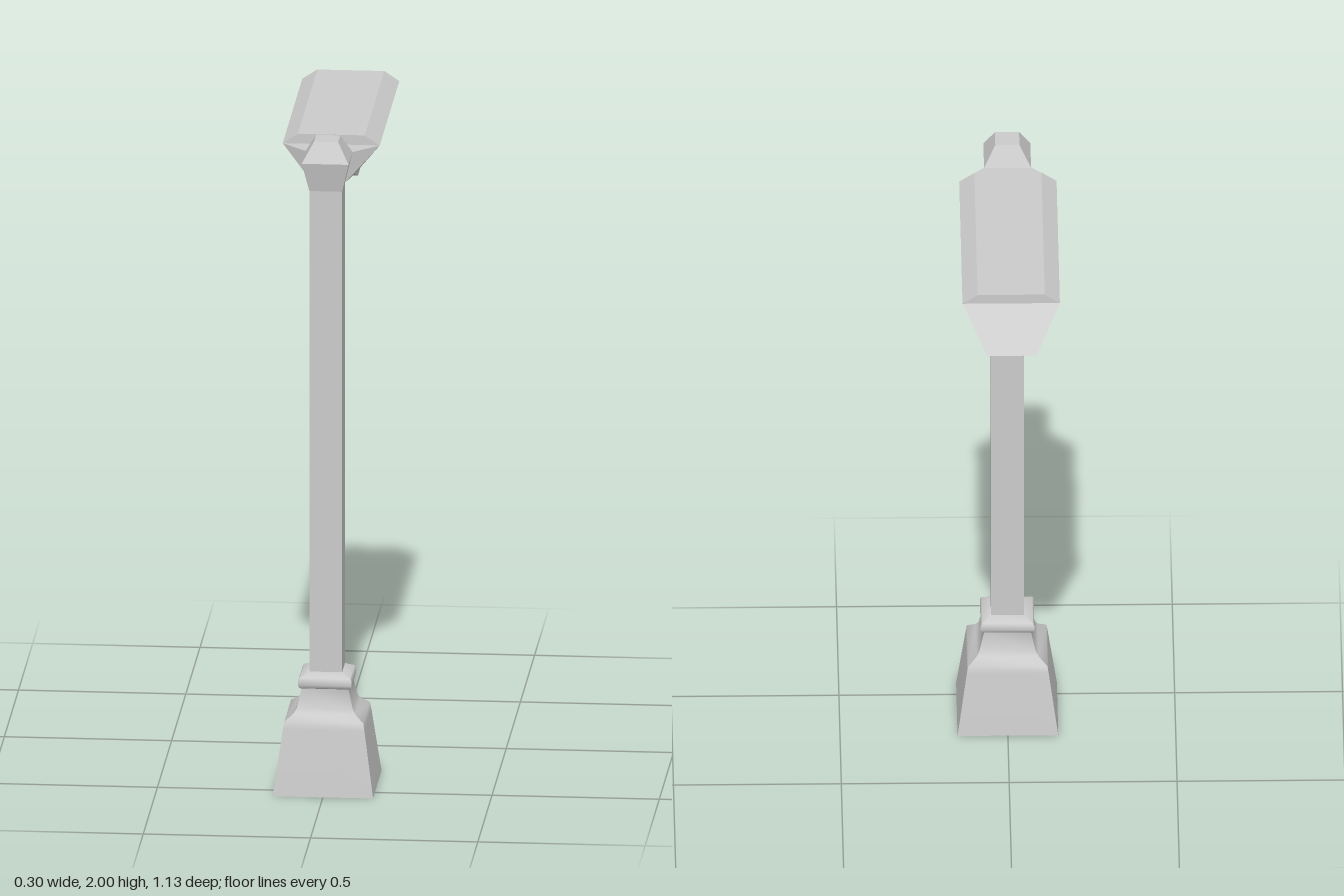
import * as THREE from 'three';
import { toCreasedNormals } from 'three/addons/utils/BufferGeometryUtils.js';
import { ConvexGeometry } from 'three/addons/geometries/ConvexGeometry.js';

const POLE_Z = 0.415;

export function createModel() {
  const model = new THREE.Group();
  model.name = 'streetLamp';
  const grey = new THREE.MeshStandardMaterial({ color: 0xcccccc });
  const greyThin = new THREE.MeshStandardMaterial({ color: 0xcccccc, side: THREE.DoubleSide, flatShading: true });

  const add = (name, geometry, material = grey) => {
    const mesh = new THREE.Mesh(geometry, material);
    mesh.name = name;
    model.add(mesh);
    return mesh;
  };

  // Square column from a [half width, height] profile
  const squareColumn = (name, profile, crease) => {
    const points = profile.map(([half, y]) => new THREE.Vector2(half * Math.SQRT2, y));
    const geometry = new THREE.LatheGeometry(points, 4, Math.PI / 4);
    add(name, toCreasedNormals(geometry, crease)).position.z = POLE_Z;
  };

  // Convex solid from points given for +x and mirrored to -x
  const mirroredSolid = (name, half) => {
    const points = half.flatMap(([x, y, z]) => [new THREE.Vector3(x, y, z), new THREE.Vector3(-x, y, z)]);
    add(name, new ConvexGeometry(points));
  };

  // Flared plinth with a concave neck and a rounded collar
  squareColumn('base', [
    [0, 0], [0.15, 0], [0.122, 0.2], [0.118, 0.222], [0.092, 0.242], [0.084, 0.255],
    [0.07, 0.313], [0.077, 0.316], [0.08, 0.325], [0.08, 0.338], [0.076, 0.347], [0.05, 0.36], [0, 0.36],
  ], 0.85);

  squareColumn('pole', [[0.049, 0.35], [0.049, 1.85]], 0.3);
  squareColumn('poleCap', [[0.049, 1.85], [0.07, 1.94], [0.036, 2], [0, 2]], 0.3);

  // Arm flaring from the pole into the lamp head
  mirroredSolid('arm', [
    [0.049, 1.94, 0.37], [0.049, 1.85, 0.37], [0.145, 1.94, 0.27], [0.07, 1.85, 0.27],
  ]);

  // Lamp head with undercut sides and a sloping nose
  mirroredSolid('lampHead', [
    [0.145, 1.94, 0.27], [0.07, 1.85, 0.27], [0.145, 1.94, -0.42], [0.073, 1.845, -0.563],
  ]);

  // Bevelled cover on top of the head
  mirroredSolid('lampCover', [
    [0.145, 1.94, 0.27], [0.1, 1.97, 0.27], [0.145, 1.94, -0.42], [0.1, 1.97, -0.42],
  ]);

  // Thin skirt around the recessed underside: two walls and two sloped ends
  const skirt = [[0.27, 1.85], [0.15, 1.81], [-0.515, 1.82], [-0.563, 1.845]];
  const wall = new THREE.Shape(skirt.map(([z, y]) => new THREE.Vector2(z, y)));
  for (const side of [1, -1]) {
    const mesh = add(side > 0 ? 'leftSkirt' : 'rightSkirt', new THREE.ShapeGeometry(wall), greyThin);
    mesh.rotation.y = -Math.PI / 2;
    mesh.position.x = side * 0.07;
  }
  const slopedEnd = (name, [z0, y0], [z1, y1]) => {
    const mesh = add(name, new THREE.PlaneGeometry(0.14, Math.hypot(z1 - z0, y1 - y0)), greyThin);
    mesh.position.set(0, (y0 + y1) / 2, (z0 + z1) / 2);
    mesh.rotation.x = Math.atan2(z1 - z0, y1 - y0);
  };
  slopedEnd('frontSkirt', skirt[0], skirt[1]);
  slopedEnd('backSkirt', skirt[2], skirt[3]);

  return model;
}
